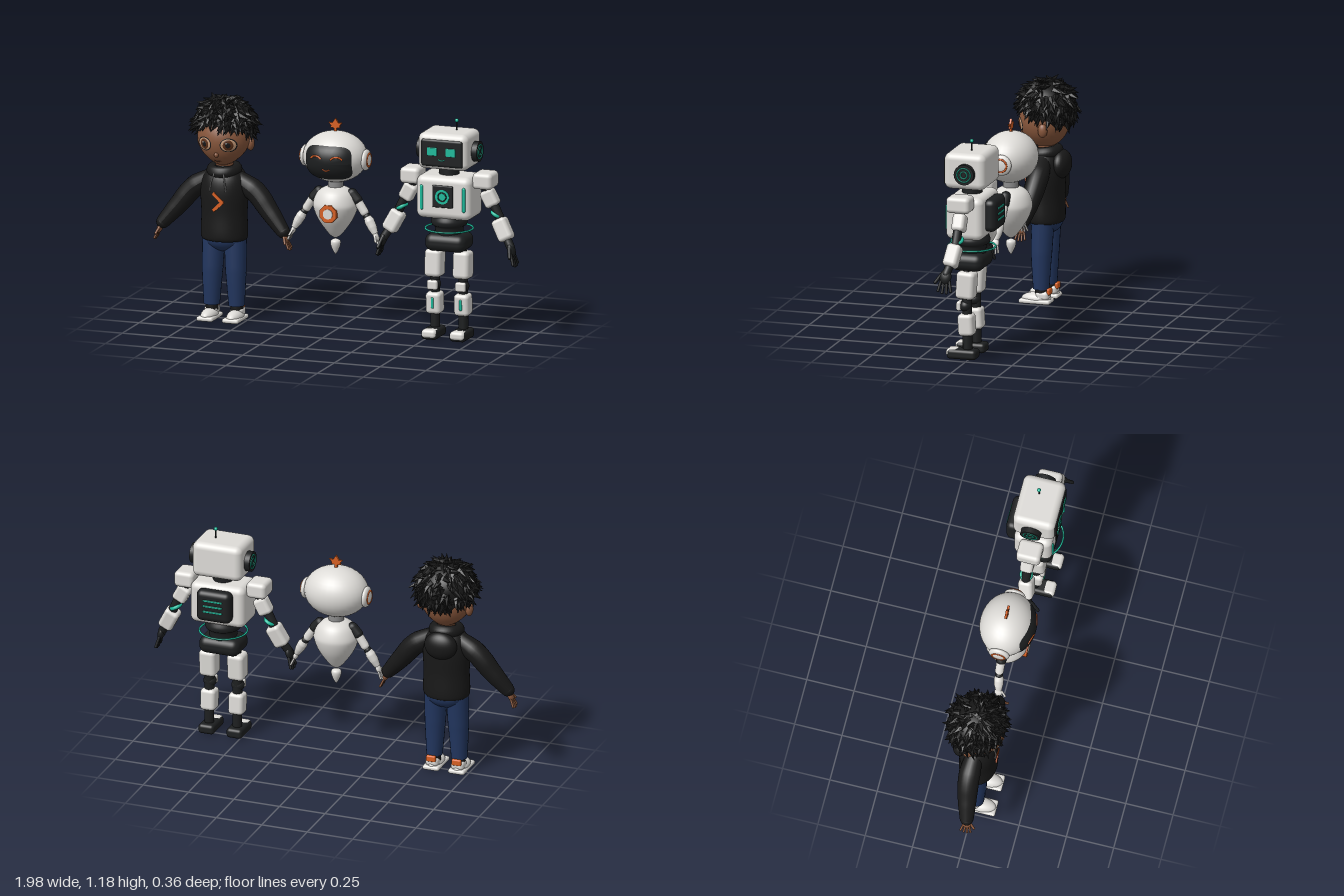
import * as THREE from 'three';
import { mergeGeometries } from 'three/addons/utils/BufferGeometryUtils.js';
import { RoundedBoxGeometry } from 'three/addons/geometries/RoundedBoxGeometry.js';

const mat = (name, color, side = THREE.FrontSide) => Object.assign(new THREE.MeshStandardMaterial({ color, side }), { name });
const M = {
  skin: mat('skin', 0x87563b), cloth: mat('black cloth and hair', 0x181818, THREE.DoubleSide),
  white: mat('white shell', 0xdedcd8, THREE.DoubleSide), denim: mat('denim', 0x22365f), orange: mat('orange', 0xd75f22),
  teal: mat('teal light', 0x1dbb9c), dark: mat('dark shell', 0x1d1f20), iris: mat('iris brown', 0x5a3018),
  tan: mat('eye tan', 0xc49a78), grey: mat('cord grey', 0x8c8c8c),
};
const V = (x, y, z = 0) => new THREE.Vector3(x, y, z);

function add(parent, name, geo, material, pos = [0, 0, 0], rot = [0, 0, 0], scale = [1, 1, 1]) {
  const m = new THREE.Mesh(geo, material);
  m.name = name;
  m.position.set(...pos); m.rotation.set(...rot); m.scale.set(...scale);
  parent.add(m);
  return m;
}
function group(parent, name, x = 0, y = 0, z = 0) {
  const g = new THREE.Group();
  g.name = name; g.position.set(x, y, z);
  parent.add(g);
  return g;
}
const rbox = (w, h, d, r) => new RoundedBoxGeometry(w, h, d, 4, r);
const ball = (rx, ry, rz) => new THREE.SphereGeometry(1, 32, 20).scale(rx, ry, rz);
const disc = (r, t, n = 32) => new THREE.CylinderGeometry(r, r, t, n);
const ring = (r, t) => new THREE.TorusGeometry(r, t, 10, 40);
const lathe = (pts) => new THREE.LatheGeometry(new THREE.SplineCurve(pts.map(p => new THREE.Vector2(...p))).getPoints(32), 40);
const line = (pts, r) => new THREE.TubeGeometry(new THREE.CatmullRomCurve3(pts), 12, r, 8);

// Rounded rod between two points
function rod(a, b, r) {
  const d = b.clone().sub(a), q = new THREE.Quaternion().setFromUnitVectors(V(0, 1), d.clone().normalize());
  return new THREE.CapsuleGeometry(r, d.length(), 6, 14).applyQuaternion(q).translate(...a.clone().add(b).multiplyScalar(0.5).toArray());
}
// Tube whose radius follows a list
function limb(pts, radii) {
  const n = 24, curve = new THREE.CatmullRomCurve3(pts), geo = new THREE.TubeGeometry(curve, n, 1, 20), p = geo.attributes.position;
  for (let i = 0; i < p.count; i++) {
    const u = Math.floor(i / 21) / n, k = u * (radii.length - 1), j = Math.min(Math.floor(k), radii.length - 2);
    const c = curve.getPointAt(u), r = THREE.MathUtils.lerp(radii[j], radii[j + 1], k - j);
    const v = V(0, 0).fromBufferAttribute(p, i).sub(c).multiplyScalar(r).add(c);
    p.setXYZ(i, v.x, v.y, v.z);
  }
  geo.computeVertexNormals();
  return geo;
}
// Superellipse patch laid on a surface z = zf(x, y)
function patch(zf, cx, cy, rx, ry, power, off) {
  const geo = new THREE.RingGeometry(0, 1, 48, 10), p = geo.attributes.position;
  for (let i = 0; i < p.count; i++) {
    const r = Math.hypot(p.getX(i), p.getY(i)), a = Math.atan2(p.getY(i), p.getX(i)), f = t => Math.sign(t) * Math.abs(t) ** (2 / power);
    const x = cx + r * rx * f(Math.cos(a)), y = cy + r * ry * f(Math.sin(a));
    p.setXYZ(i, x, y, zf(x, y) + 0.001 + off * (1 - 0.5 * r ** 6));
  }
  geo.computeVertexNormals();
  return geo;
}
// Palm, four fingers and a thumb, pointing down
function hand(parent, material, pos, tilt, L) {
  const g = group(parent, 'hand', ...pos);
  g.rotation.z = tilt;
  add(g, 'palm', ball(0.15 * L, 0.3 * L, 0.25 * L), material, [0, -0.25 * L, 0]);
  for (const z of [-0.18, -0.06, 0.06, 0.18])
    add(g, 'finger', rod(V(0, -0.42 * L, z * L), V(0, (-0.94 + Math.abs(z) * 0.6) * L, z * 1.5 * L), 0.06 * L), material);
  add(g, 'thumb', rod(V(0, -0.15 * L, 0.18 * L), V(0, -0.5 * L, 0.42 * L), 0.07 * L), material);
}

function hair() {
  let seed = 7;
  const rnd = () => (seed = (seed * 16807) % 2147483647) / 2147483647;
  // t runs from crown to hairline, a is the angle from the front
  const point = (t, a) => {
    const f = (1 - Math.cos(a)) / 2, th = t * (1.5 + 0.8 * f), o = Math.max(0, th - Math.PI / 2);
    const r = o ? 1 - 0.25 * o * o : Math.sin(th);
    return V(0.145 * r * Math.sin(a), 1.03 + 0.125 * Math.cos(th), 0.138 * r * Math.cos(a) - 0.004);
  };
  const cap = new THREE.SphereGeometry(1, 40, 20), p = cap.attributes.position, uv = cap.attributes.uv;
  for (let i = 0; i < p.count; i++) p.setXYZ(i, ...point(1 - uv.getY(i), uv.getX(i) * Math.PI * 2 - Math.PI / 2).toArray());
  cap.computeVertexNormals();
  const parts = [cap.toNonIndexed()];
  for (let i = 0; i < 420; i++) {
    const t = Math.sqrt(rnd()) * 0.98, a = rnd() * Math.PI * 2, b = point(t, a);
    const n = b.clone().sub(V(0, 1.0)).normalize(), down = point(t + 0.05, a).sub(b).normalize();
    const d = down.multiplyScalar(0.8).addScaledVector(n, 0.32).add(V(rnd() - 0.5, rnd() - 0.5, rnd() - 0.5).multiplyScalar(0.9)).normalize();
    const len = 0.045 + 0.025 * rnd(), q = new THREE.Quaternion().setFromUnitVectors(V(0, 1), d);
    const lock = new THREE.ConeGeometry(0.018, len, 5).translate(0, len * 0.4, 0).applyQuaternion(q).translate(b.x, b.y, b.z).toNonIndexed();
    lock.computeVertexNormals();
    parts.push(lock);
  }
  return mergeGeometries(parts);
}

function buildBoy(root) {
  const g = group(root, 'boy', -0.625);
  // Head with a narrowing jaw
  const taper = k => (k < 0 ? 1 - 0.3 * k * k : 1), skull = ball(0.138, 0.145, 0.13), p = skull.attributes.position;
  for (let i = 0; i < p.count; i++) p.setX(i, p.getX(i) * taper(p.getY(i) / 0.145));
  add(g, 'head', skull, M.skin, [0, 0.955, 0.01]);
  const face = (x, y) => {
    const k = (y - 0.955) / 0.145;
    return 0.01 + 0.13 * Math.sqrt(Math.max(0, 1 - k * k - (x / 0.138 / taper(k)) ** 2));
  };
  add(g, 'hair', hair(), M.cloth);
  add(g, 'nose', ball(0.012, 0.014, 0.014), M.skin, [0, 0.885, face(0, 0.885)]);
  add(g, 'mouth', line([-0.02, 0, 0.02].map(x => V(x, 0.846 + x * x * 10, face(x, 0.846) + 0.001)), 0.003), M.iris);
  add(g, 'neck', disc(0.045, 0.1), M.skin, [0, 0.8, 0]);
  for (const s of [1, -1]) {
    add(g, 'ear', ball(0.02, 0.036, 0.025), M.skin, [s * 0.134, 0.925, -0.02]);
    [[0.041, 0.037, M.cloth], [0.036, 0.032, M.tan], [0.026, 0.028, M.iris], [0.014, 0.016, M.cloth]].forEach(([rx, ry, m], i) =>
      add(g, 'eyeLayer', patch(face, s * 0.064, 0.94, rx, ry, 2, 0.0015 * (i + 1)), m));
    add(g, 'eyeGlint', patch(face, s * 0.064 - 0.007, 0.95, 0.005, 0.005, 2, 0.008), M.white);
    // Sleeve, cuff and hand
    add(g, 'sleeve', limb([V(s * 0.07, 0.74), V(s * 0.17, 0.675, -0.003), V(s * 0.25, 0.58, 0.008), V(s * 0.328, 0.487, 0.025)], [0.045, 0.056, 0.054, 0.047, 0.036]), M.cloth);
    add(g, 'cuff', rod(V(s * 0.318, 0.497, 0.023), V(s * 0.328, 0.487, 0.025), 0.035), M.cloth);
    hand(g, M.skin, [s * 0.333, 0.477, 0.028], s * 0.42, 0.095);
    // Leg and shoe
    add(g, 'trouserLeg', limb([V(s * 0.058, 0.46), V(s * 0.064, 0.25, 0.008), V(s * 0.068, 0.075, 0.008)], [0.06, 0.055, 0.042]), M.denim);
    add(g, 'sock', disc(0.034, 0.05), M.cloth, [s * 0.068, 0.068, 0.005]);
    const shoe = group(g, 'shoe', s * 0.07, 0, 0.034);
    add(shoe, 'sole', rbox(0.09, 0.024, 0.168, 0.011), M.white, [0, 0.012, 0]);
    add(shoe, 'upper', new THREE.SphereGeometry(1, 28, 12, 0, Math.PI * 2, 0, Math.PI / 2).scale(0.041, 0.035, 0.079), M.white, [0, 0.021, 0]);
    add(shoe, 'collar', rbox(0.07, 0.05, 0.072, 0.02), M.white, [0, 0.042, -0.038]);
    add(shoe, 'heelTab', rbox(0.052, 0.034, 0.02, 0.008), M.orange, [0, 0.064, -0.07]);
    add(g, 'hoodCord', line([V(s * 0.025, 0.778, 0.088), V(s * 0.036, 0.74, 0.103), V(s * 0.045, 0.688, 0.104)], 0.004), M.grey);
  }
  add(g, 'hips', ball(0.112, 0.075, 0.085), M.denim, [0, 0.43, 0]);
  // Hooded top
  add(g, 'hoodie', lathe([[0.095, 0.418], [0.118, 0.425], [0.124, 0.46], [0.121, 0.56], [0.126, 0.67], [0.115, 0.74], [0.085, 0.785], [0.05, 0.81]]), M.cloth, [0, 0, 0.004], [0, 0, 0], [1, 1, 0.8]);
  add(g, 'collar', new THREE.TorusGeometry(0.062, 0.03, 14, 40).rotateX(Math.PI / 2), M.cloth, [0, 0.785, 0.005], [0.12, 0, 0], [1, 1.1, 1]);
  add(g, 'hood', ball(0.088, 0.075, 0.05), M.cloth, [0, 0.725, -0.08]);
  for (const s of [1, -1]) add(g, 'chestStripe', new THREE.BoxGeometry(0.017, 0.073, 0.008), M.orange, [0, 0.632 + s * 0.022, 0.104], [0, 0, s * 0.83]);
}

function buildFloater(root) {
  const g = group(root, 'floatingRobot', -0.02);
  const surf = (x, y) => 0.14 * Math.sqrt(Math.max(0, 1 - (x / 0.17) ** 2 - ((y - 0.902) / 0.133) ** 2)) + 0.003;
  add(g, 'head', ball(0.17, 0.133, 0.143), M.white, [0, 0.902, 0.003]);
  add(g, 'visor', patch(surf, 0, 0.89, 0.125, 0.09, 4, 0.009), M.dark);
  add(g, 'smile', line([-0.02, 0, 0.02].map(x => V(x, 0.853 + x * x * 22, surf(x, 0.853) + 0.012)), 0.0035), M.orange);
  for (const s of [1, -1]) {
    add(g, 'eye', line([-0.029, -0.014, 0.014, 0.029].map(x => V(s * 0.055 + x, 0.93 - x * x * 18, surf(s * 0.055 + x, 0.925) + 0.01)), 0.005), M.orange);
    add(g, 'earPod', ball(0.022, 0.055, 0.055), M.white, [s * 0.166, 0.895, 0]);
    add(g, 'earRing', ring(0.033, 0.005), M.orange, [s * 0.182, 0.895, 0], [0, Math.PI / 2, 0]);
    // Arm
    add(g, 'shoulder', rod(V(s * 0.09, 0.712), V(s * 0.118, 0.68), 0.027), M.dark);
    add(g, 'upperArm', rod(V(s * 0.128, 0.665), V(s * 0.157, 0.62), 0.023), M.white);
    add(g, 'elbow', ball(0.02, 0.02, 0.02), M.dark, [s * 0.172, 0.598, 0.002]);
    add(g, 'forearm', limb([V(s * 0.168, 0.605, 0.002), V(s * 0.195, 0.56, 0.006), V(s * 0.221, 0.513, 0.012)], [0.016, 0.026, 0.024, 0.016]), M.white);
    hand(g, M.white, [s * 0.218, 0.518, 0.013], s * 0.42, 0.085);
  }
  // Leaf on the crown
  const pts = [[0.006, 1.03], [0.007, 1.05], [0.026, 1.052], [0.023, 1.063], [0.037, 1.078], [0.016, 1.077], [0, 1.102]];
  const leaf = new THREE.Shape([...pts, ...pts.slice(0, -1).reverse().map(([x, y]) => [-x, y])].map(q => new THREE.Vector2(...q)));
  add(g, 'leaf', new THREE.ExtrudeGeometry(leaf, { depth: 0.012, bevelEnabled: false }), M.orange, [0, 0, -0.006]);
  add(g, 'neck', disc(0.04, 0.06), M.grey, [0, 0.76, 0]);
  // Teardrop body and tail
  add(g, 'body', lathe([[0.001, 0.747], [0.05, 0.742], [0.092, 0.715], [0.115, 0.665], [0.114, 0.63], [0.092, 0.575], [0.055, 0.52], [0.025, 0.485], [0.001, 0.472]].reverse()), M.white, [0, 0, 0], [0, 0, 0], [1, 1, 0.95]);
  add(g, 'tail', lathe([[0.001, 0.386], [0.012, 0.402], [0.025, 0.435], [0.024, 0.458], [0.001, 0.47]]), M.white);
  add(g, 'chestBadge', disc(0.049, 0.03, 8), M.orange, [0, 0.62, 0.1], [Math.PI / 2, Math.PI / 8, 0]);
  add(g, 'badgeLamp', disc(0.026, 0.006), M.white, [0, 0.62, 0.116], [Math.PI / 2, 0, 0]);
}

function buildRobot(root) {
  const g = group(root, 'boxRobot', 0.605), q = Math.PI / 2;
  // Head
  add(g, 'head', rbox(0.272, 0.19, 0.222, 0.035), M.white, [0, 0.997, 0.012]);
  add(g, 'visor', rbox(0.228, 0.145, 0.03, 0.014), M.dark, [0, 0.992, 0.114]);
  add(g, 'mouth', line([-0.018, 0, 0.018].map(x => V(x, 0.954 + x * x * 18, 0.13)), 0.003), M.teal);
  add(g, 'antenna', disc(0.004, 0.06, 10), M.dark, [0.037, 1.112, 0]);
  add(g, 'antennaTip', ball(0.01, 0.01, 0.01), M.teal, [0.037, 1.143, 0]);
  add(g, 'neck', disc(0.052, 0.08), M.dark, [0, 0.885, 0.01]);
  // Torso, chest panel and back pack
  add(g, 'torso', rbox(0.3, 0.225, 0.2, 0.035), M.white, [0, 0.752, 0.01]);
  add(g, 'chestPanel', rbox(0.112, 0.116, 0.014, 0.006), M.dark, [0, 0.762, 0.109]);
  add(g, 'chestLamp', disc(0.038, 0.006), M.teal, [0, 0.762, 0.117], [q, 0, 0]);
  add(g, 'lampRing', ring(0.022, 0.003), M.dark, [0, 0.762, 0.12]);
  add(g, 'backPack', rbox(0.19, 0.17, 0.07, 0.03), M.dark, [0, 0.763, -0.11]);
  for (const y of [-0.03, 0, 0.03]) add(g, 'ventLight', rbox(0.105, 0.01, 0.008, 0.003), M.teal, [0, 0.768 + y, -0.145]);
  // Waist, hoop and hips
  add(g, 'waist', lathe([[0.07, 0.53], [0.075, 0.585], [0.09, 0.6], [0.094, 0.62], [0.085, 0.645]]), M.dark, [0, 0, 0.01]);
  add(g, 'hoop', ring(0.123, 0.005), M.teal, [0, 0.578, 0.012], [q, 0, 0]);
  add(g, 'hips', rbox(0.222, 0.092, 0.175, 0.04), M.dark, [0, 0.51, 0.012]);
  for (const s of [1, -1]) {
    add(g, 'eye', rbox(0.054, 0.043, 0.008, 0.003), M.teal, [s * 0.05, 1.0, 0.13]);
    add(g, 'earPod', disc(0.053, 0.04), M.dark, [s * 0.145, 0.99, 0.004], [0, 0, q]);
    for (const r of [0.036, 0.018]) add(g, 'earRing', ring(r, 0.0035), M.teal, [s * 0.165, 0.99, 0.004], [0, q, 0]);
    add(g, 'chestLight', rod(V(s * 0.115, 0.695, 0.108), V(s * 0.115, 0.808, 0.108), 0.009), M.teal);
    // Arm
    const tilt = s * 0.48;
    add(g, 'shoulder', rbox(0.107, 0.085, 0.126, 0.022), M.white, [s * 0.198, 0.847, 0.012]);
    add(g, 'armCore', rod(V(s * 0.2, 0.81, 0.008), V(s * 0.3, 0.6, 0.012), 0.024), M.dark);
    add(g, 'upperArm', rbox(0.076, 0.092, 0.068, 0.018), M.white, [s * 0.222, 0.752, 0.007], [0, 0, tilt]);
    add(g, 'elbowRing', ring(0.025, 0.01), M.teal, [s * 0.258, 0.67, 0.008], [q, s * -0.48, 0]);
    add(g, 'forearm', rbox(0.08, 0.12, 0.076, 0.02), M.white, [s * 0.297, 0.595, 0.02], [-0.15, 0, tilt]);
    add(g, 'wrist', rod(V(s * 0.315, 0.56, 0.025), V(s * 0.345, 0.51, 0.04), 0.022), M.dark);
    hand(g, M.dark, [s * 0.342, 0.525, 0.042], s * 0.28, 0.125);
    // Leg
    const leg = group(g, 'leg', s * 0.077, 0, 0);
    add(leg, 'legCore', rod(V(0, 0.45, 0.015), V(0, 0.06, 0.01), 0.025), M.dark);
    add(leg, 'thigh', rbox(0.09, 0.145, 0.098, 0.022), M.white, [0, 0.392, 0.015], [-0.06, 0, 0]);
    add(leg, 'knee', ball(0.034, 0.032, 0.032), M.dark, [0, 0.28, 0.02]);
    add(leg, 'kneeCap', rbox(0.058, 0.05, 0.026, 0.011), M.white, [0, 0.28, 0.052]);
    add(leg, 'shin', rbox(0.082, 0.115, 0.082, 0.02), M.white, [0, 0.183, 0.014], [0.06, 0, 0]);
    add(leg, 'shinLight', rod(V(0, 0.162, 0.051), V(0, 0.208, 0.053), 0.008), M.teal);
    add(leg, 'foot', rbox(0.086, 0.052, 0.158, 0.018), M.dark, [0, 0.028, 0.034]);
    add(leg, 'toeCap', rbox(0.08, 0.046, 0.065, 0.018), M.white, [0, 0.033, 0.085]);
  }
}

export function createModel() {
  const root = new THREE.Group();
  root.name = 'threeFriends';
  buildBoy(root);
  buildFloater(root);
  buildRobot(root);
  return root;
}
